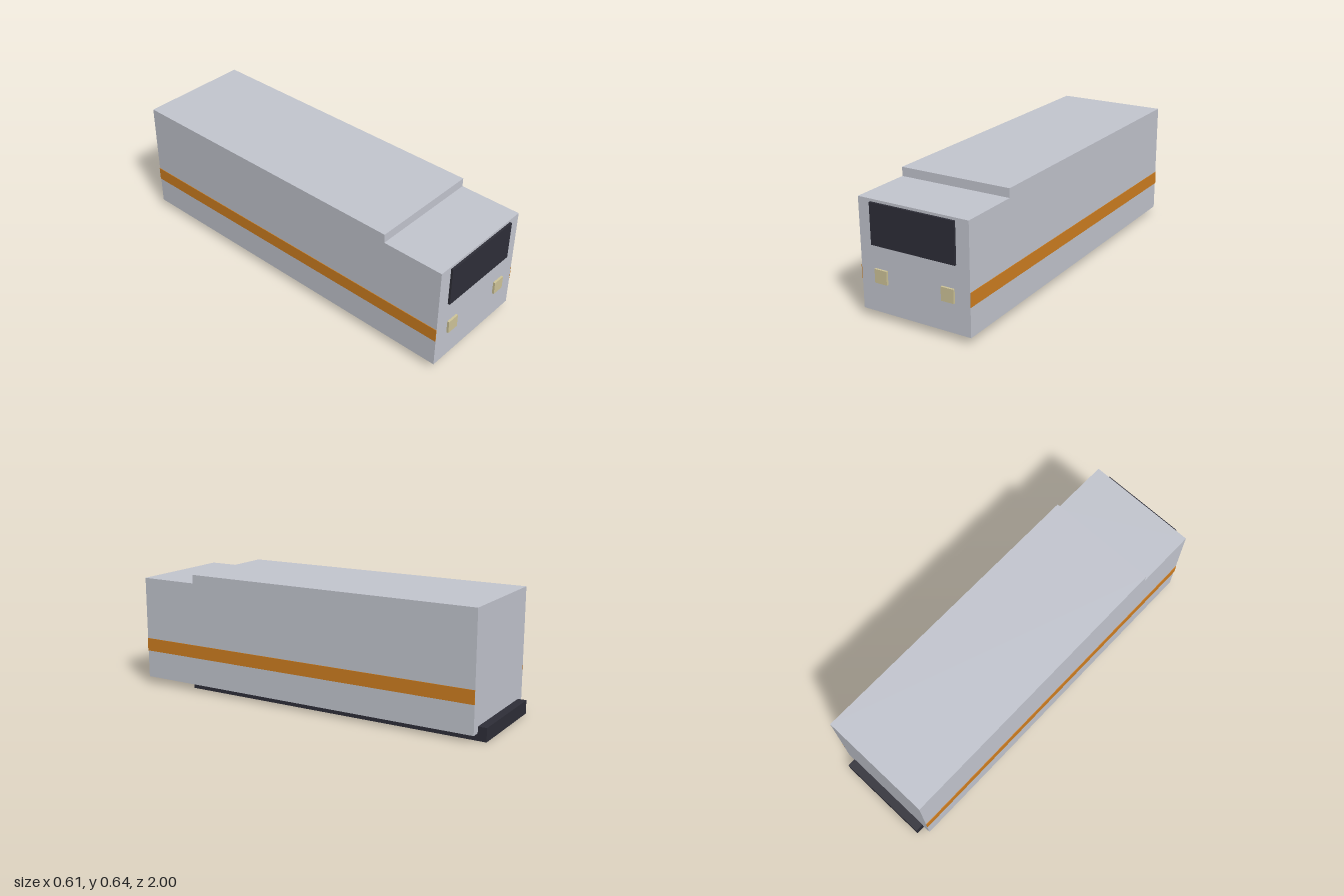
import * as THREE from 'three';

const material = (name, color) => {
  const m = new THREE.MeshStandardMaterial({ color });
  m.name = name;
  return m;
};

export function createModel() {
  const group = new THREE.Group();
  const silver = material('silver grey', 0xc2c5ce);
  const dark = material('dark charcoal', 0x2e2e38);
  const orange = material('orange', 0xce7e20);
  const cream = material('pale cream', 0xcec498);

  const add = (name, geometry, mat) => {
    const mesh = new THREE.Mesh(geometry, mat);
    mesh.name = name;
    group.add(mesh);
    return mesh;
  };
  // Box given by its limits on each axis
  const box = (name, mat, [x0, x1], [y0, y1], [z0, z1]) =>
    add(name, new THREE.BoxGeometry(x1 - x0, y1 - y0, z1 - z0), mat)
      .position.set((x0 + x1) / 2, (y0 + y1) / 2, (z0 + z1) / 2);

  // Body: stepped side profile extruded across the width
  const halfWidth = 0.301, back = -0.955, front = 0.989;
  const profile = new THREE.Shape([
    [back, 0.037], [front, 0.037], [front, 0.592],
    [0.663, 0.592], [0.663, 0.638], [back, 0.638],
  ].map(([z, y]) => new THREE.Vector2(-z, y)));
  const bodyGeometry = new THREE.ExtrudeGeometry(profile, { depth: halfWidth * 2, bevelEnabled: false });
  bodyGeometry.translate(0, 0, -halfWidth).rotateY(Math.PI / 2);
  add('body', bodyGeometry, silver);

  // Chassis slab, projecting behind the body
  box('chassis', dark, [-0.254, 0.254], [0, 0.07], [-1, 0.712]);

  // Windscreen plate
  box('windscreen', dark, [-0.231, 0.231], [0.372, 0.579], [front, 1]);

  // Headlights and side stripes, mirrored
  for (const side of [-1, 1]) {
    const span = (a, b) => [a * side, b * side].sort((p, q) => p - q);
    const label = side > 0 ? 'left' : 'right';
    box(label + 'Headlight', cream, span(0.151, 0.219), [0.187, 0.256], [front, 1]);
    box(label + 'Stripe', orange, span(halfWidth, 0.304), [0.186, 0.256], [back, front]);
  }
  return group;
}
